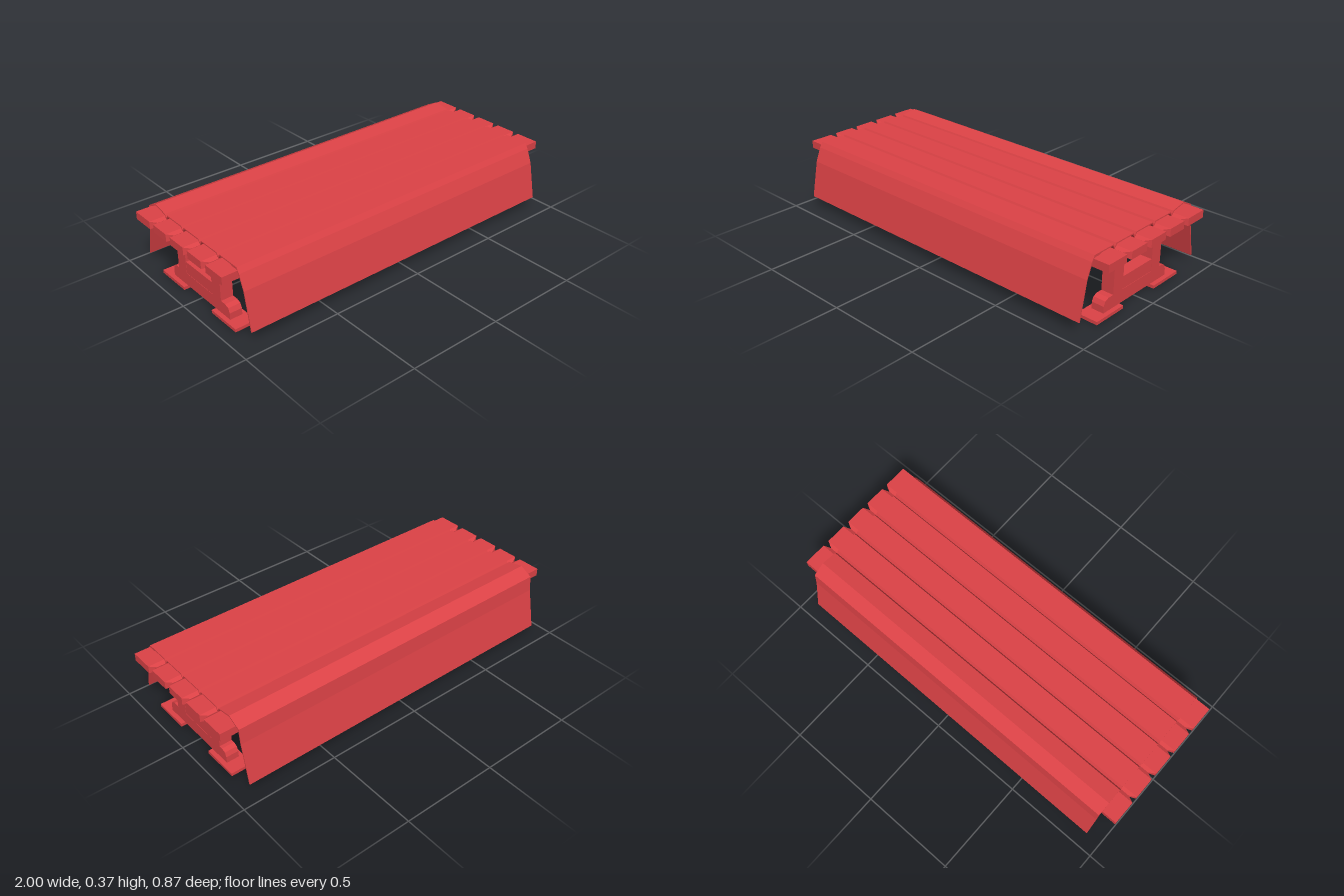
import * as THREE from 'three';
import { ConvexGeometry } from 'three/addons/geometries/ConvexGeometry.js';

const material = new THREE.MeshStandardMaterial({ color: 0xdc4246, flatShading: true });

function add(parent, geometry, name) {
  const mesh = new THREE.Mesh(geometry, material);
  mesh.name = name;
  parent.add(mesh);
  return mesh;
}

// Extrudes a [z, y] profile along x, centred on x = 0
function profileAlongX(points, length) {
  const shape = new THREE.Shape(points.map(([z, y]) => new THREE.Vector2(z, y)));
  const geometry = new THREE.ExtrudeGeometry(shape, { depth: length, bevelEnabled: false });
  return geometry.translate(0, 0, -length / 2).rotateY(-Math.PI / 2);
}

// Box given by its z and y limits, centred on x = 0
function box(width, z0, z1, y0, y1) {
  return new THREE.BoxGeometry(width, y1 - y0, z1 - z0)
    .translate(0, (y0 + y1) / 2, (z0 + z1) / 2);
}

// Plank with bevelled long edges that taper in at both ends
function plank(z0, z1, bevelBack, bevelFront) {
  const points = [];
  for (const x of [-1, 1]) {
    for (const [z, side, bevelled] of [[z0, -1, bevelBack], [z1, 1, bevelFront]]) {
      for (const up of [-1, 1]) {
        points.push(new THREE.Vector3(x, 0.32 + up * 0.02, z));
        if (bevelled) points.push(new THREE.Vector3(x * 0.965, 0.32 + up * 0.009, z + side * 0.018));
      }
    }
  }
  return new ConvexGeometry(points);
}

// Closed sheet profile: the outer line plus the same line offset inwards
function sheetProfile(outer, thickness) {
  const line = outer.map(([z, y]) => new THREE.Vector2(z, y));
  const normal = (a, b) => {
    const d = b.clone().sub(a).normalize();
    return new THREE.Vector2(-d.y, d.x);
  };
  const inner = line.map((p, i) => {
    const before = i > 0 ? normal(line[i - 1], p) : normal(p, line[1]);
    const after = i < line.length - 1 ? normal(p, line[i + 1]) : before;
    const miter = before.clone().add(after).normalize();
    const q = p.clone().addScaledVector(miter, thickness / miter.dot(before));
    return [q.x, q.y];
  });
  return [...outer, ...inner.reverse()];
}

export function createModel() {
  const model = new THREE.Group();
  model.name = 'coveredTable';

  // Table top
  const top = new THREE.Group();
  top.name = 'tableTop';
  model.add(top);
  const spans = [[-0.36, -0.238], [-0.203, -0.094], [-0.058, 0.05], [0.085, 0.194], [0.23, 0.355]];
  spans.forEach(([z0, z1], i) => add(top, plank(z0, z1, i > 0, i < 4), 'plank'));

  // Cloth draped over the planks, sagging into each gap
  const cloth = [[0.434, 0.062], [0.395, 0.254], [0.365, 0.327], [0.348, 0.354]];
  for (const gap of [0.208, 0.064, -0.08, -0.222]) {
    cloth.push([gap + 0.01, 0.354], [gap, 0.336], [gap - 0.01, 0.354]);
  }
  cloth.push([-0.316, 0.369], [-0.383, 0.335], [-0.391, 0.256], [-0.434, 0.048]);
  add(model, profileAlongX(sheetProfile(cloth, 0.006), 1.84), 'tableCloth');
  const fold = [[0.356, 0.33], [0.348, 0.352], [0.295, 0.349], [0.312, 0.341], [0.342, 0.341]];
  add(model, profileAlongX(fold, 1.838), 'clothFold');

  // Trestles
  const baseProfile = [[0.243, 0.016], [0.243, 0.05], [0.233, 0.073], [0.21, 0.082],
    [-0.197, 0.082], [-0.219, 0.073], [-0.228, 0.05], [-0.228, 0.016]];
  for (const side of [-1, 1]) {
    const trestle = new THREE.Group();
    trestle.name = side > 0 ? 'leftTrestle' : 'rightTrestle';
    trestle.position.x = side * 0.873;
    add(trestle, profileAlongX(baseProfile, 0.065), 'base');
    add(trestle, box(0.062, -0.11, 0.108, 0.082, 0.146), 'crossRail');
    add(trestle, box(0.065, 0.108, 0.177, 0.082, 0.3), 'frontPost');
    add(trestle, box(0.065, -0.178, -0.11, 0.082, 0.3), 'backPost');
    add(trestle, box(0.11, 0.127, 0.317, 0, 0.016), 'frontFoot');
    add(trestle, box(0.11, -0.299, -0.108, 0, 0.016), 'backFoot');
    model.add(trestle);
  }
  return model;
}
